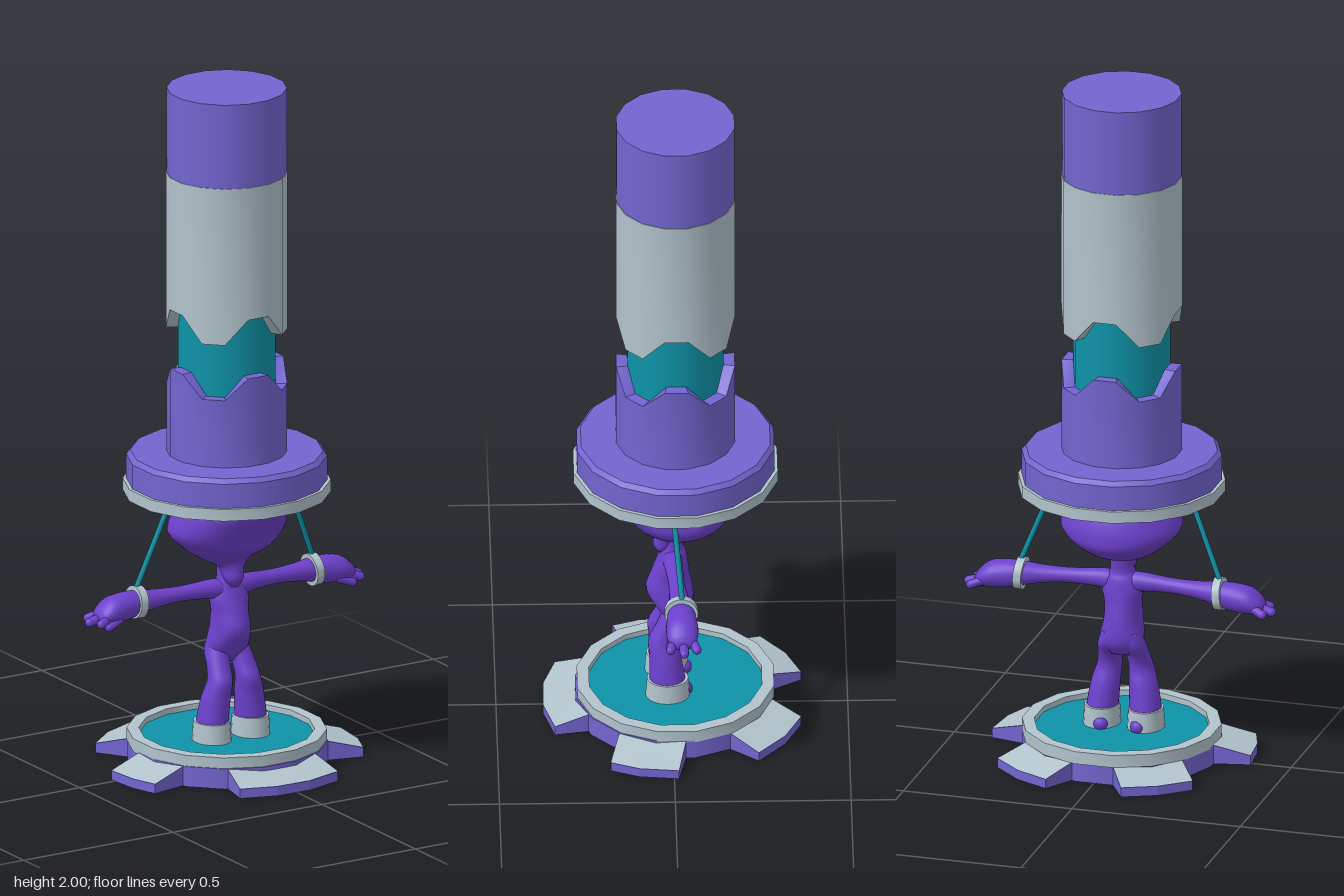
import * as THREE from 'three';
import { toCreasedNormals } from 'three/addons/utils/BufferGeometryUtils.js';

const SIDES = 16, START = -Math.PI / SIDES, CZ = -0.01;
const mat = (color) => new THREE.MeshStandardMaterial({ color });

export function createModel() {
  const model = new THREE.Group();
  const violet = mat(0x7265d0), skin = mat(0x6c40cc), teal = mat(0x0e93a8), grey = mat(0xb2c4cd);

  const add = (name, geometry, material, x = 0, y = 0, z = 0) => {
    const mesh = new THREE.Mesh(geometry, material);
    mesh.name = name;
    mesh.position.set(x, y, z);
    model.add(mesh);
    return mesh;
  };

  // Solid 16-sided drum between two heights, with a flat side facing front
  const drum = (r, y0, y1, rTop = r) =>
    new THREE.CylinderGeometry(rTop, r, y1 - y0, SIDES, 1, false, START).translate(0, (y0 + y1) / 2, 0);

  // Hollow ring; top and bottom heights may vary with the angle
  const ring = (rOut, rIn, y0, y1, rule) => {
    const profile = [[rOut, y0], [rOut, y1], [rIn, y1], [rIn, y0], [rOut, y0]].map((p) => new THREE.Vector2(...p));
    const g = new THREE.LatheGeometry(profile, SIDES, START);
    if (rule) {
      const p = g.attributes.position;
      for (let i = 0; i < p.count; i++) p.setY(i, rule(p.getY(i), Math.atan2(p.getX(i), p.getZ(i))));
    }
    return toCreasedNormals(g, 0.5);
  };

  // Smooth body through elliptical sections [y, centreX, centreZ, radiusX, radiusZ]
  const loft = (sections, steps = 32, around = 24) => {
    const centres = new THREE.CatmullRomCurve3(sections.map((s) => new THREE.Vector3(s[1], s[0], s[2])), false, 'catmullrom');
    const radii = new THREE.CatmullRomCurve3(sections.map((s) => new THREE.Vector3(s[3], 0, s[4])), false, 'catmullrom');
    const pos = [], index = [];
    for (let j = 0; j <= steps; j++) {
      const c = centres.getPoint(j / steps), r = radii.getPoint(j / steps);
      for (let i = 0; i < around; i++) {
        const a = (i / around) * Math.PI * 2;
        pos.push(c.x + r.x * Math.sin(a), c.y, c.z + r.z * Math.cos(a));
      }
    }
    const bottom = pos.length / 3, top = bottom + 1;
    pos.push(...centres.getPoint(0).toArray(), ...centres.getPoint(1).toArray());
    for (let i = 0; i < around; i++) {
      const n = (i + 1) % around, last = steps * around;
      for (let j = 0; j < steps; j++) {
        const a = j * around + i, b = j * around + n;
        index.push(a, b, a + around, b, b + around, a + around);
      }
      index.push(bottom, n, i, top, last + i, last + n);
    }
    const g = new THREE.BufferGeometry();
    g.setAttribute('position', new THREE.Float32BufferAttribute(pos, 3));
    g.setIndex(index);
    g.computeVertexNormals();
    return g;
  };

  // Straight rod or rounded finger between two points
  const between = (name, a, b, r, material, rounded) => {
    const p = new THREE.Vector3(...a), q = new THREE.Vector3(...b), d = q.clone().sub(p);
    const g = rounded ? new THREE.CapsuleGeometry(r, d.length(), 4, 12) : new THREE.CylinderGeometry(r, r, d.length(), 8);
    const mesh = add(name, g, material);
    mesh.position.copy(p).add(q).multiplyScalar(0.5);
    mesh.quaternion.setFromUnitVectors(new THREE.Vector3(0, 1, 0), d.normalize());
  };

  // Base: core, rim and recessed floor
  add('baseCore', drum(0.285, 0, 0.06), violet, 0, 0, CZ / 2);
  add('baseRim', ring(0.285, 0.25, 0.055, 0.092), grey, 0, 0, CZ);
  add('baseFloor', drum(0.255, 0.05, 0.075), teal, 0, 0, CZ);

  // Five gear teeth: outer corner angles in degrees from the front
  const teeth = [[-27, -10, 7, 25], [62, 75, 92], [129, 146, 162], [196, 211.5, 228], [268, 283, 295]];
  const polar = (deg, r) => {
    const a = THREE.MathUtils.degToRad(deg);
    return new THREE.Vector2(r * Math.sin(a), -r * Math.cos(a));
  };
  teeth.forEach((angles, k) => {
    const first = angles[0], last = angles[angles.length - 1], r = k ? 0.384 : 0.37;
    const shape = new THREE.Shape([
      polar(first - 6, 0.27), ...angles.map((a) => polar(a, r)), polar(last + 6, 0.27),
    ]);
    const slope = (g, lift) => {
      const p = g.attributes.position;
      for (let i = 0; i < p.count; i++) {
        if (p.getY(i) > 0.001) p.setY(i, (Math.hypot(p.getX(i), p.getZ(i)) > 0.32 ? 0.028 : 0.06) + lift);
      }
      g.computeVertexNormals();
      return g;
    };
    const body = new THREE.ExtrudeGeometry(shape, { depth: 0.06, bevelEnabled: false }).rotateX(-Math.PI / 2);
    add('baseTooth', slope(body, 0), violet);
    const plate = new THREE.ShapeGeometry(shape).rotateX(-Math.PI / 2).translate(0, 0.06, 0);
    add('toothTop', slope(plate, 0.0015), grey);
  });

  // Hanging brim above the figure
  add('brimRing', ring(0.296, 0.25, 0.8, 0.835), grey, 0, 0, CZ);
  add('brimCeiling', drum(0.26, 0.826, 0.84), teal, 0, 0, CZ);
  add('brim', drum(0.286, 0.834, 0.907), violet, 0, 0, CZ);
  add('brimBevel', drum(0.286, 0.907, 0.92, 0.274), violet, 0, 0, CZ);

  // Column: notched lower and upper sleeves around an inner core
  const notch = (low, high) => (a) => (Math.cos(4 * a) > 0 ? high : low);
  const lowerEdge = notch(1.12, 1.182), upperEdge = notch(1.285, 1.357);
  add('lowerSleeve', ring(0.172, 0.136, 0.915, 1.15, (y, a) => (y > 1 ? lowerEdge(a) : y)), violet, 0, 0, CZ);
  add('columnCore', drum(0.139, 0.915, 1.75), teal, 0, 0, CZ);
  add('upperSleeve', ring(0.173, 0.136, 1.3, 1.75, (y, a) => (y < 1.5 ? upperEdge(a) : y)), grey, 0, 0, CZ);
  add('columnCap', drum(0.171, 1.75, 2), violet, 0, 0, CZ);

  // Figure: torso and wide head
  add('torso', loft([
    [0.3, 0, -0.01, 0.035, 0.025], [0.34, 0, -0.008, 0.064, 0.052], [0.4, 0, 0.007, 0.056, 0.067],
    [0.45, 0, 0.005, 0.054, 0.056], [0.49, 0, 0, 0.06, 0.046], [0.525, 0, -0.003, 0.05, 0.037],
    [0.55, 0, 0, 0.036, 0.032], [0.6, 0, -0.005, 0.034, 0.034],
  ]), skin);
  add('head', loft([
    [0.525, 0, 0.028, 0.012, 0.01], [0.55, 0, 0.026, 0.03, 0.027], [0.585, 0, 0.012, 0.04, 0.038],
    [0.61, 0, -0.02, 0.085, 0.078], [0.65, 0, -0.02, 0.14, 0.135], [0.69, 0, -0.014, 0.175, 0.148],
    [0.735, 0, 0.004, 0.168, 0.156], [0.775, 0, 0.022, 0.148, 0.155], [0.805, 0, 0.02, 0.118, 0.125],
    [0.825, 0, 0.02, 0.05, 0.05],
  ], 40, 32), skin);

  for (const s of [1, -1]) {
    const side = s > 0 ? 'left' : 'right';

    // Leg, boot and heel
    add(side + 'Leg', loft([
      [0.12, 0.065, 0.013, 0.046, 0.052], [0.2, 0.056, 0.02, 0.042, 0.045], [0.25, 0.047, 0.028, 0.036, 0.04],
      [0.29, 0.042, 0.014, 0.034, 0.036], [0.33, 0.036, -0.008, 0.034, 0.04], [0.37, 0.03, -0.015, 0.025, 0.035],
    ].map(([y, x, ...rest]) => [y, s * x, ...rest])), skin);
    const boot = new THREE.CylinderGeometry(0.05, 0.054, 0.065, 20).scale(1, 1, 1.18);
    add(side + 'Boot', boot, grey, s * 0.065, 0.1, 0.013);
    add(side + 'Heel', new THREE.SphereGeometry(0.022, 14, 10), skin, s * 0.055, 0.088, -0.036);

    // Arm and palm, sections [x, y, z, radiusY, radiusZ]
    add(side + 'Arm', loft([
      [0.01, 0.51, 0, 0.034, 0.03], [0.06, 0.518, -0.003, 0.028, 0.027], [0.15, 0.518, -0.01, 0.022, 0.023],
      [0.23, 0.516, -0.016, 0.026, 0.028], [0.29, 0.513, -0.021, 0.035, 0.037], [0.34, 0.508, -0.022, 0.041, 0.044],
      [0.385, 0.503, -0.022, 0.038, 0.046], [0.415, 0.492, -0.022, 0.026, 0.038], [0.428, 0.487, -0.022, 0.012, 0.02],
    ].map(([x, y, ...rest]) => [x, -s * y, ...rest])).rotateZ((-s * Math.PI) / 2), skin);

    // Fingers: three ahead, thumb below
    const fingers = [
      [[0.4, 0.49, -0.05], [0.433, 0.478, -0.063]], [[0.4, 0.49, -0.024], [0.45, 0.476, -0.027]],
      [[0.4, 0.49, 0.002], [0.434, 0.478, 0.012]], [[0.37, 0.48, 0.006], [0.408, 0.465, 0.012]],
    ];
    for (const [a, b] of fingers) {
      between(side + 'Finger', [s * a[0], a[1], a[2]], [s * b[0], b[1], b[2]], 0.013, skin, true);
    }

    // Wrist cuff and the cord holding it up
    const cuff = add(side + 'Cuff', ring(0.048, 0.034, -0.012, 0.012), grey, s * 0.295, 0.514, -0.021);
    cuff.rotation.z = (-s * Math.PI) / 2 + 0.08 * s;
    between(side + 'Cord', [s * 0.297, 0.55, -0.024], [s * 0.185, 0.83, 0.003], 0.008, teal);
  }
  return model;
}
